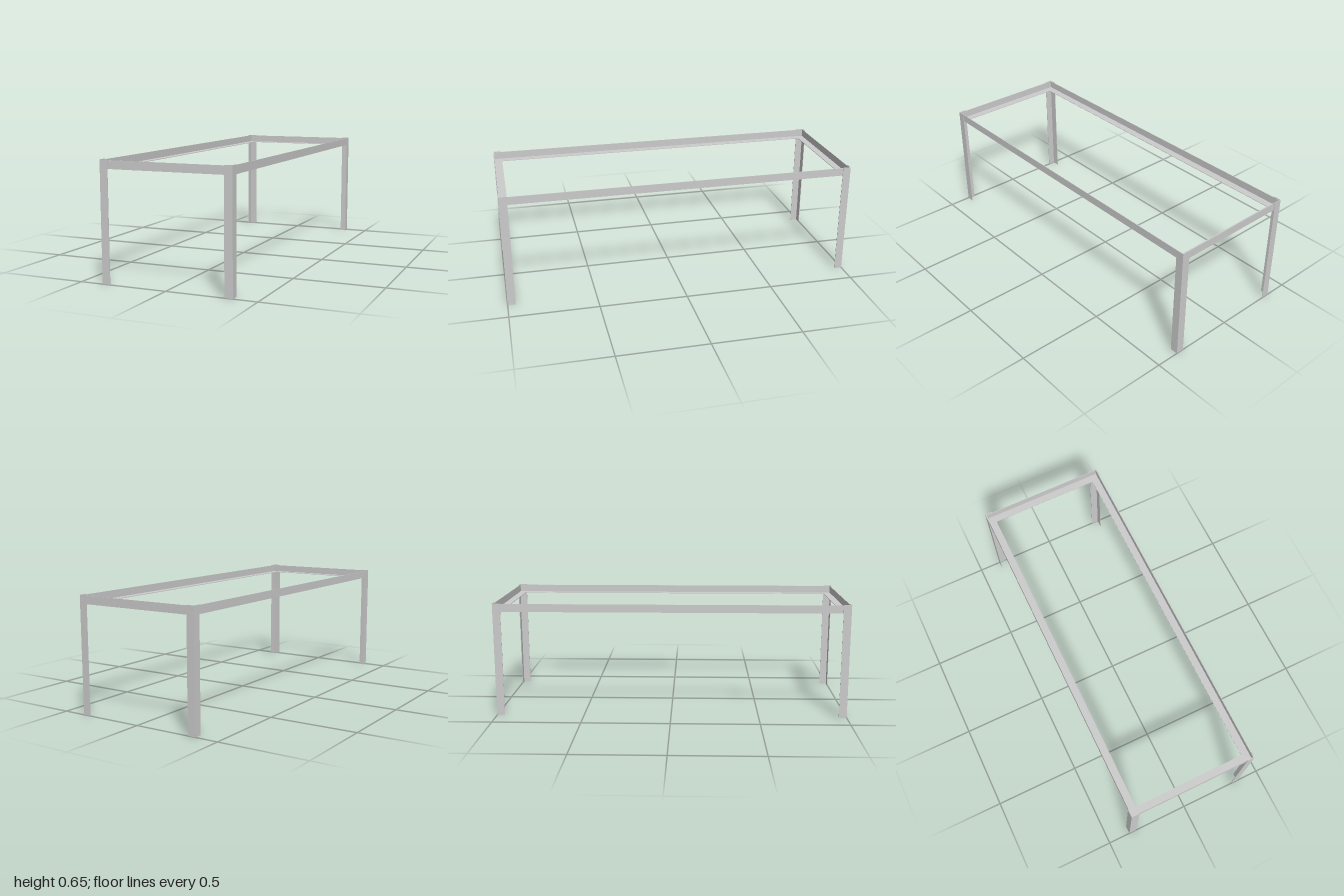
import * as THREE from 'three';

const HALF_X = 0.369, HALF_Z = 1, HEIGHT = 0.65;
const WIDTH = 0.045, THICK = 0.003; // angle-iron flange width and thickness
const RAIL_BOTTOM = 0.602;

// L-shaped section with its outer corner at the origin
function angleSection() {
  return new THREE.Shape([
    [0, 0], [WIDTH, 0], [WIDTH, THICK], [THICK, THICK], [THICK, WIDTH], [0, WIDTH],
  ].map(([x, y]) => new THREE.Vector2(x, y)));
}

// Upright angle, open towards +x and -z
function legGeometry() {
  const geometry = new THREE.ExtrudeGeometry(angleSection(), { depth: HEIGHT, bevelEnabled: false });
  return geometry.rotateX(-Math.PI / 2);
}

// Horizontal angle along z: upright flange outside, ledge at the bottom, mitred ends
function railGeometry(halfLength) {
  const geometry = new THREE.ExtrudeGeometry(angleSection(), { depth: 1, bevelEnabled: false });
  const p = geometry.attributes.position;
  for (let i = 0; i < p.count; i++) {
    const end = p.getZ(i) > 0.5 ? 1 : -1;
    p.setZ(i, end * (halfLength - p.getX(i)));
  }
  geometry.computeVertexNormals();
  return geometry;
}

export function createModel() {
  const group = new THREE.Group();
  const material = new THREE.MeshStandardMaterial({ color: 0xcccccc, flatShading: true });
  const add = (name, geometry, x, y, z, turn) => {
    const mesh = new THREE.Mesh(geometry, material);
    mesh.name = name;
    mesh.position.set(x, y, z);
    mesh.rotation.y = turn;
    group.add(mesh);
  };

  // Four legs, each with its corner facing outwards
  const leg = legGeometry();
  [['frontRightLeg', -1, 1], ['frontLeftLeg', 1, 1], ['backLeftLeg', 1, -1], ['backRightLeg', -1, -1]]
    .forEach(([name, sx, sz], i) => add(name, leg, sx * HALF_X, 0, sz * HALF_Z, i * Math.PI / 2));

  // Four rails, fitted just inside the leg flanges
  const railX = HALF_X - THICK, railZ = HALF_Z - THICK;
  const longRail = railGeometry(railZ), shortRail = railGeometry(railX);
  add('rightRail', longRail, -railX, RAIL_BOTTOM, 0, 0);
  add('frontRail', shortRail, 0, RAIL_BOTTOM, railZ, Math.PI / 2);
  add('leftRail', longRail, railX, RAIL_BOTTOM, 0, Math.PI);
  add('backRail', shortRail, 0, RAIL_BOTTOM, -railZ, -Math.PI / 2);

  return group;
}
